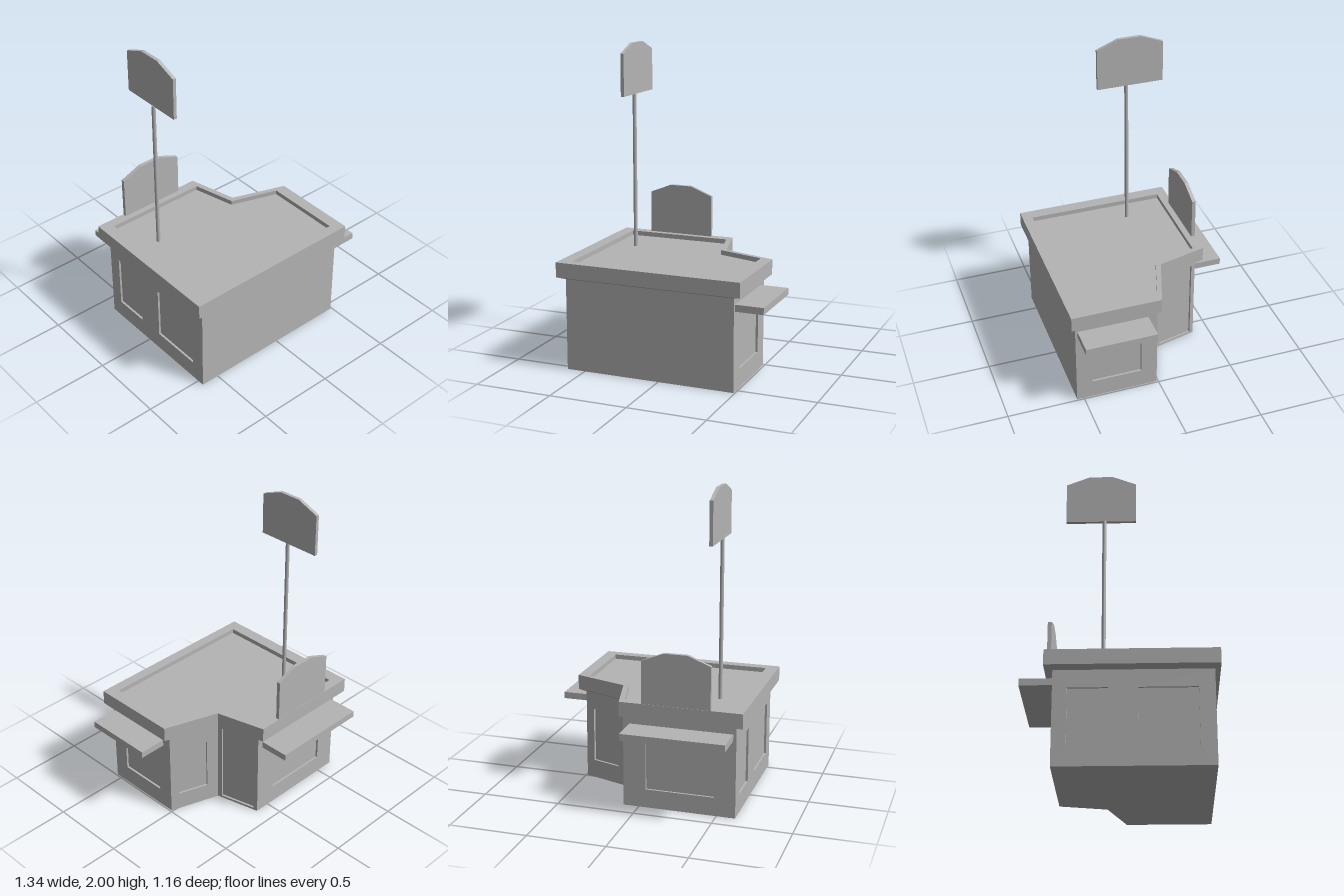
import * as THREE from 'three';

const grey = new THREE.MeshStandardMaterial({ color: 0xb4b4b4 });
grey.name = 'plain grey';

// Plan outlines as [x, z], walked left to right as seen from outside
const wallPlan = [[-0.62, 0.545], [0.49, 0.545], [0.49, 0.01], [0.17, -0.1], [0.1, -0.39], [-0.62, -0.39]];
const roofPlan = [[-0.67, 0.58], [0.54, 0.58], [0.54, 0], [0.19, -0.12], [0.11, -0.44], [-0.67, -0.44]];
const roofInner = [[-0.59, 0.515], [0.465, 0.515], [0.465, 0.005], [0.16, -0.095], [0.09, -0.375], [-0.59, -0.375]];

// Openings per wall: [start, end, bottom, top], measured along the wall
const openings = [
  [],
  [[0.105, 0.43, 0.12, 0.475]],
  [[0.06, 0.26, 0.12, 0.475]],
  [[0.03, 0.272, 0.015, 0.565]],
  [[0.145, 0.585, 0.12, 0.475]],
  [[0.085, 0.32, 0.12, 0.475], [0.495, 0.84, 0.12, 0.475]],
];
const WALL_TOP = 0.585, EAVE = 0.6, ROOF_TOP = 0.695, RECESS = 0.015;

const pts = (list) => list.map(([a, b]) => new THREE.Vector2(a, b));
const planShape = (plan) => new THREE.Shape(pts(plan.map(([x, z]) => [x, -z])));
const rect = (x0, x1, y0, y1) => pts([[x0, y0], [x1, y0], [x1, y1], [x0, y1]]);

function add(parent, name, geometry, x = 0, y = 0, z = 0) {
  const mesh = new THREE.Mesh(geometry, grey);
  mesh.name = name;
  mesh.position.set(x, y, z);
  parent.add(mesh);
  return mesh;
}

// One wall with recessed openings, facing outward from edge a-b
function makeWall(a, b, holes, index) {
  const wall = new THREE.Group();
  wall.name = 'wall' + index;
  const u = new THREE.Vector3(b[0] - a[0], 0, b[1] - a[1]);
  const length = u.length();
  const shape = new THREE.Shape(rect(0, length, 0, WALL_TOP));
  for (const [s0, s1, y0, y1] of holes) {
    shape.holes.push(new THREE.Path(rect(s0, s1, y0, y1)));
    const pane = new THREE.PlaneGeometry(s1 - s0, y1 - y0);
    add(wall, y0 < 0.1 ? 'doorPanel' : 'windowPanel', pane, (s0 + s1) / 2, (y0 + y1) / 2, -RECESS + 0.001);
  }
  add(wall, 'wallFace', new THREE.ExtrudeGeometry(shape, { depth: RECESS, bevelEnabled: false }), 0, 0, -RECESS);
  wall.rotation.y = Math.atan2(-u.z, u.x);
  wall.position.set(a[0], 0, a[1]);
  return wall;
}

// Sloping soffit joining the wall tops to the roof edge
function makeSoffit() {
  const positions = [];
  wallPlan.forEach((w, i) => {
    const j = (i + 1) % wallPlan.length;
    const low = (p) => [p[0], WALL_TOP, p[1]], high = (p) => [p[0], EAVE, p[1]];
    const a = low(w), b = low(wallPlan[j]), c = high(roofPlan[j]), d = high(roofPlan[i]);
    positions.push(...a, ...b, ...c, ...a, ...c, ...d);
  });
  const geometry = new THREE.BufferGeometry();
  geometry.setAttribute('position', new THREE.Float32BufferAttribute(positions, 3));
  geometry.computeVertexNormals();
  return geometry;
}

// Board with a clipped, faceted top
function makeSignBoard(height, thickness) {
  const w = 0.2175, t = 0.074;
  const shape = new THREE.Shape(pts([
    [-w, 0], [w, 0], [w, height - 0.057], [t, height], [-t, height], [-w, height - 0.057],
  ]));
  return new THREE.ExtrudeGeometry(shape, { depth: thickness, bevelEnabled: false }).translate(0, 0, -thickness / 2);
}

export function createModel() {
  const model = new THREE.Group();
  model.name = 'kiosk';

  // Walls and floor
  wallPlan.forEach((a, i) => model.add(makeWall(a, wallPlan[(i + 1) % wallPlan.length], openings[i], i + 1)));
  const floor = new THREE.ExtrudeGeometry(planShape(wallPlan), { depth: 0.004, bevelEnabled: false });
  add(model, 'floor', floor.rotateX(-Math.PI / 2));

  // Roof rim, sunken deck and soffit
  const rim = planShape(roofPlan);
  rim.holes.push(new THREE.Path(planShape(roofInner).getPoints()));
  const rimGeometry = new THREE.ExtrudeGeometry(rim, { depth: ROOF_TOP - EAVE, bevelEnabled: false });
  add(model, 'roofRim', rimGeometry.rotateX(-Math.PI / 2), 0, EAVE, 0);
  add(model, 'roofDeck', new THREE.ShapeGeometry(planShape(roofInner)).rotateX(-Math.PI / 2), 0, 0.665, 0);
  add(model, 'soffit', makeSoffit());

  // Awnings over the serving windows
  add(model, 'sideAwning', new THREE.BoxGeometry(0.18, 0.043, 0.46), 0.58, 0.522, 0.3);
  add(model, 'backAwning', new THREE.BoxGeometry(0.66, 0.043, 0.195), -0.27, 0.522, -0.4875);

  // Signs and pole
  add(model, 'backSign', makeSignBoard(1.025 - ROOF_TOP, 0.024), -0.252, ROOF_TOP, -0.426);
  add(model, 'pole', new THREE.CylinderGeometry(0.0125, 0.0125, 1.675, 16), -0.443, 0.8375, -0.104);
  add(model, 'poleSign', makeSignBoard(0.327, 0.022), -0.435, 1.673, -0.125).rotation.y = Math.PI / 2;

  return model;
}
